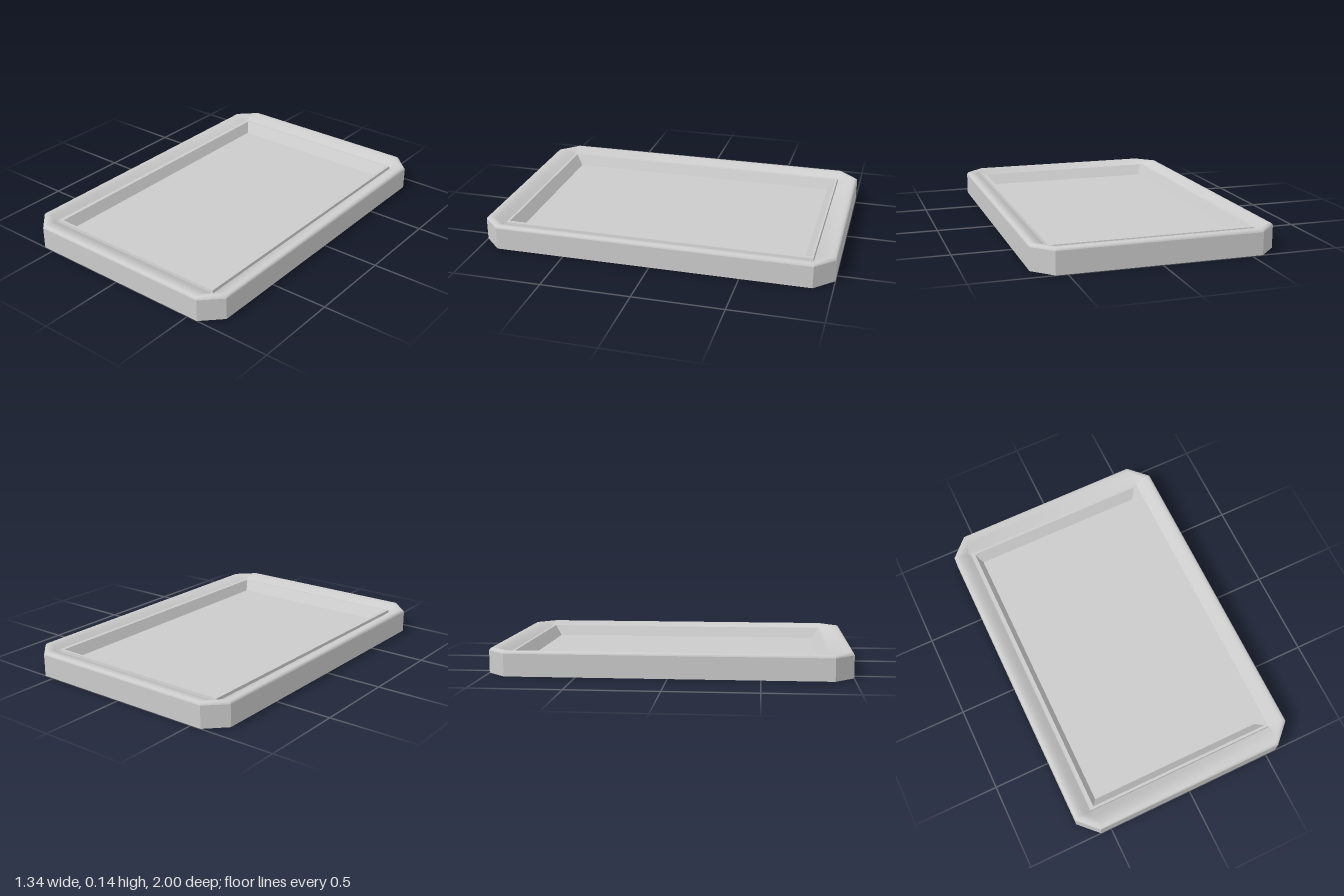
import * as THREE from 'three';
import { toCreasedNormals } from 'three/addons/utils/BufferGeometryUtils.js';

const material = new THREE.MeshStandardMaterial({ color: 0xcccccc, side: THREE.DoubleSide });

// Rectangular outline with cut corners, counter-clockwise seen from above
function outline([hx, hz, y, cut]) {
  return [
    [hx, hz - cut], [hx, cut - hz], [hx - cut, -hz], [cut - hx, -hz],
    [-hx, cut - hz], [-hx, hz - cut], [cut - hx, hz], [hx - cut, hz],
  ].map(([x, z]) => new THREE.Vector3(x, y, z));
}

// Joins successive outlines into a thin shell
function loft(name, sections) {
  const rings = sections.map(outline);
  const positions = [];
  const triangle = (a, b, c) => {
    if (a.distanceTo(b) < 1e-5 || b.distanceTo(c) < 1e-5 || c.distanceTo(a) < 1e-5) return;
    for (const p of [a, b, c]) positions.push(p.x, p.y, p.z);
  };
  for (let r = 0; r < rings.length - 1; r++) {
    for (let i = 0; i < 8; i++) {
      const j = (i + 1) % 8;
      triangle(rings[r][i], rings[r][j], rings[r + 1][j]);
      triangle(rings[r][i], rings[r + 1][j], rings[r + 1][i]);
    }
  }
  const geometry = new THREE.BufferGeometry();
  geometry.setAttribute('position', new THREE.Float32BufferAttribute(positions, 3));
  const mesh = new THREE.Mesh(toCreasedNormals(geometry, Math.PI / 5), material);
  mesh.name = name;
  return mesh;
}

export function createModel() {
  const group = new THREE.Group();
  group.name = 'tray';

  // Sections are half width, half depth, height, corner cut
  group.add(loft('outerWall', [
    [0.67, 1, 0, 0.107],
    [0.67, 1, 0.125, 0.107],
  ]));

  // Rounded outer edge, then a rim that dips towards the middle
  group.add(loft('rim', [
    [0.67, 1, 0.125, 0.107],
    [0.667, 0.997, 0.133, 0.106],
    [0.66, 0.99, 0.139, 0.104],
    [0.65, 0.98, 0.141, 0.1],
    [0.635, 0.96, 0.139, 0.08],
    [0.615, 0.935, 0.132, 0.055],
    [0.593, 0.908, 0.12, 0.025],
    [0.57, 0.88, 0.105, 0],
  ]));

  // Small raised lip around the recess
  group.add(loft('lip', [
    [0.57, 0.88, 0.105, 0],
    [0.567, 0.877, 0.121, 0],
    [0.545, 0.863, 0.121, 0],
  ]));

  // Sloping sides of the recess
  group.add(loft('recessWalls', [
    [0.545, 0.863, 0.121, 0],
    [0.515, 0.82, 0.06, 0],
  ]));

  const floor = new THREE.Mesh(new THREE.PlaneGeometry(1.03, 1.64).rotateX(-Math.PI / 2), material);
  floor.name = 'floor';
  floor.position.y = 0.06;
  group.add(floor);

  return group;
}
